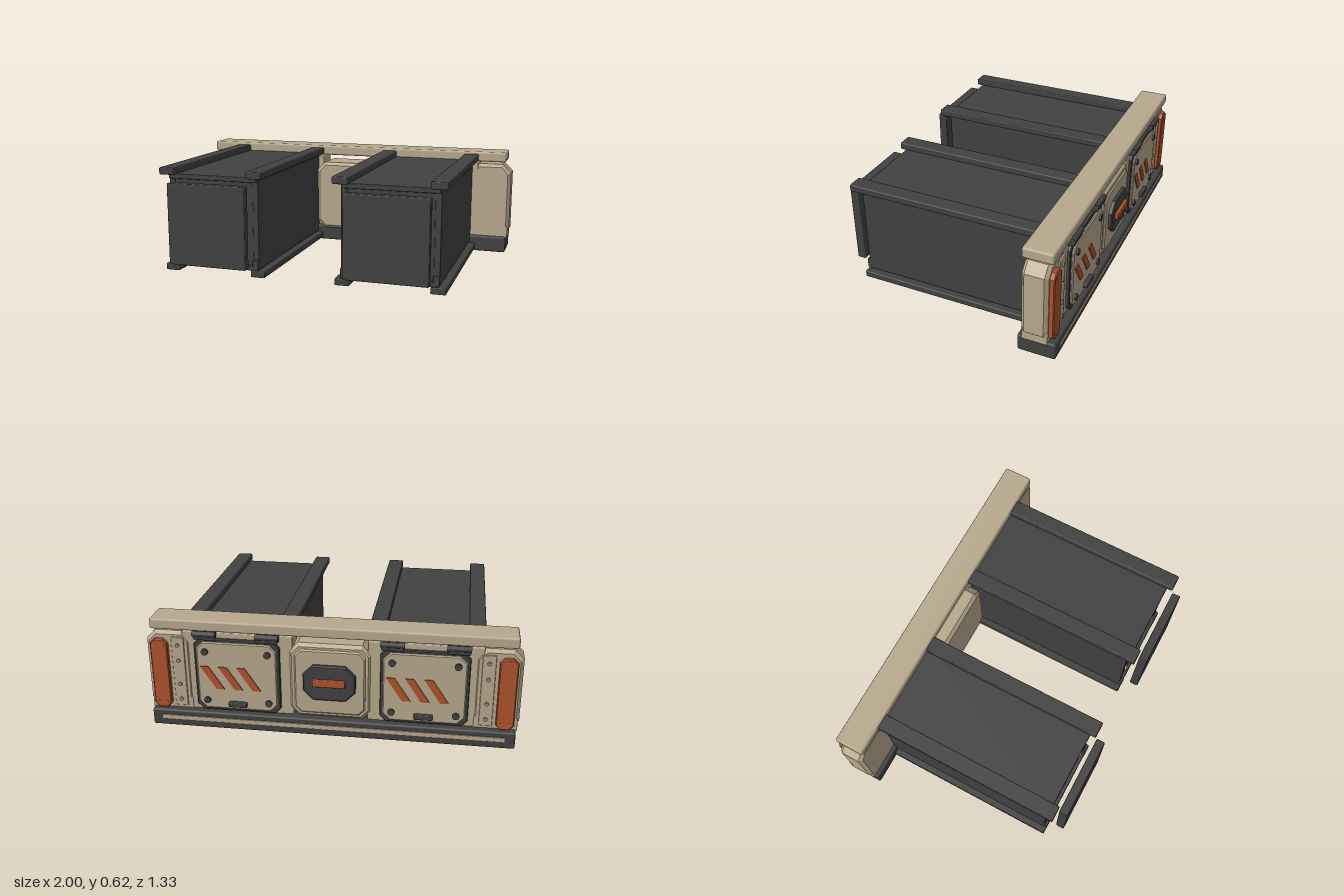
import * as THREE from 'three';
import { RoundedBoxGeometry } from 'three/addons/geometries/RoundedBoxGeometry.js';

const material = (name, color) => new THREE.MeshStandardMaterial({ name, color });

export function createModel() {
  const model = new THREE.Group();
  const dark = material('charcoal', 0x414141);
  const beige = material('sand', 0xb8a98e);
  const orange = material('rust orange', 0xb0522c);
  const steel = material('rivet grey', 0x918c82);

  const add = (parent, name, geometry, mat, x = 0, y = 0, z = 0) => {
    const mesh = new THREE.Mesh(geometry, mat);
    mesh.name = name;
    mesh.position.set(x, y, z);
    parent.add(mesh);
    return mesh;
  };

  // Box given by its limits, with slightly softened edges
  const block = (parent, name, mat, [x0, x1], [y0, y1], [z0, z1], r = 0.006) =>
    add(parent, name, new RoundedBoxGeometry(x1 - x0, y1 - y0, z1 - z0, 1, r), mat,
      (x0 + x1) / 2, (y0 + y1) / 2, (z0 + z1) / 2);

  // Plate with clipped corners and a bevelled rim, centred in depth
  const plate = (w, h, d, cut, bevel) => {
    const a = w / 2 - bevel, b = h / 2 - bevel;
    const shape = new THREE.Shape([
      [-a + cut, -b], [a - cut, -b], [a, -b + cut], [a, b - cut],
      [a - cut, b], [-a + cut, b], [-a, b - cut], [-a, -b + cut],
    ].map(([x, y]) => new THREE.Vector2(x, y)));
    const g = new THREE.ExtrudeGeometry(shape, {
      depth: d - 2 * bevel, bevelEnabled: bevel > 0,
      bevelThickness: bevel, bevelSize: bevel, bevelSegments: 1,
    });
    return g.translate(0, 0, -d / 2 + bevel);
  };

  // Short round stud pointing along z
  const stud = (parent, name, mat, r, d, x, y, z) =>
    add(parent, name, new THREE.CylinderGeometry(r, r, d, 12).rotateX(Math.PI / 2), mat, x, y, z);

  // Lower plinth with its trim line, and the top beam
  block(model, 'plinth', dark, [-0.985, 0.985], [0, 0.095], [-0.653, -0.445], 0.01);
  block(model, 'plinthTrim', beige, [-0.93, 0.93], [0.04, 0.065], [-0.657, -0.648], 0.002);
  block(model, 'topBeam', beige, [-0.97, 0.97], [0.56, 0.62], [-0.627, -0.46], 0.012);

  // Centre block with an octagonal badge and grip
  add(model, 'centreBlock', plate(0.445, 0.43, 0.22, 0.04, 0.018), beige, 0, 0.305, -0.505);
  add(model, 'centrePanel', plate(0.38, 0.37, 0.02, 0.03, 0.008), beige, 0, 0.305, -0.615);
  add(model, 'centreBadge', plate(0.28, 0.2, 0.035, 0.05, 0.006), dark, 0, 0.31, -0.63);
  block(model, 'centreGrip', orange, [-0.088, 0.088], [0.295, 0.335], [-0.665, -0.64], 0.005);

  // End pillars with orange side panels and rivet strips
  for (const s of [-1, 1]) {
    const pillar = new THREE.Group();
    pillar.name = s > 0 ? 'leftPillar' : 'rightPillar';
    model.add(pillar);
    add(pillar, 'pillarBody', plate(0.245, 0.455, 0.14, 0.04, 0.018), beige, s * 0.8775, 0.3175, -0.54);
    block(pillar, 'pillarFoot', beige, [s * 0.8775 - 0.115, s * 0.8775 + 0.115], [0.085, 0.16], [-0.61, -0.47]);
    add(pillar, 'endPanel', plate(0.095, 0.405, 0.03, 0.022, 0.005), orange, s * 0.925, 0.3025, -0.62);
    block(pillar, 'rivetStrip', beige, [s * 0.825 - 0.035, s * 0.825 + 0.035], [0.11, 0.515], [-0.618, -0.6], 0.004);
    for (const y of [0.15, 0.24, 0.38, 0.47])
      stud(pillar, 'stripRivet', steel, 0.011, 0.012, s * 0.825, y, -0.62);
    for (const y of [0.135, 0.47])
      for (const dx of [-0.022, 0.022])
        stud(pillar, 'panelRivet', steel, 0.005, 0.006, s * 0.925 + dx, y, -0.635);
  }

  // One slanted stripe
  const stripe = new THREE.ExtrudeGeometry(new THREE.Shape([
    [-0.065, -0.065], [-0.02, -0.065], [0.065, 0.065], [0.02, 0.065],
  ].map(([x, y]) => new THREE.Vector2(x, y))), { depth: 0.008, bevelEnabled: false });

  for (const s of [-1, 1]) {
    const cx = s * 0.5;
    const side = s > 0 ? 'left' : 'right';

    // Rear hatch: body, frame, door, stripes, bolts, hinges and latch
    const hatch = new THREE.Group();
    hatch.name = side + 'Hatch';
    hatch.position.x = cx;
    model.add(hatch);
    block(hatch, 'hatchBody', beige, [-0.3, 0.3], [0.09, 0.55], [-0.605, -0.47]);
    add(hatch, 'hatchFrame', plate(0.465, 0.42, 0.022, 0.03, 0.004), dark, 0, 0.31, -0.612);
    add(hatch, 'hatchDoor', plate(0.435, 0.39, 0.03, 0.035, 0.006), beige, 0, 0.31, -0.62);
    for (const i of [-1, 0, 1])
      add(hatch, 'hatchStripe', stripe, orange, 0.035 + i * 0.1, 0.3, -0.641);
    for (const dx of [-0.17, 0.17]) {
      for (const y of [0.165, 0.45])
        stud(hatch, 'hatchBolt', dark, 0.019, 0.014, dx, y, -0.638);
      block(hatch, 'hinge', dark, [dx - 0.06, dx + 0.06], [0.515, 0.56], [-0.64, -0.59], 0.008);
      add(hatch, 'hingePin', new THREE.CylinderGeometry(0.016, 0.016, 0.125, 12).rotateZ(Math.PI / 2),
        dark, dx, 0.548, -0.63);
    }
    block(hatch, 'latch', dark, [-0.05, 0.05], [0.137, 0.165], [-0.658, -0.625], 0.005);

    // Long drawer casing on top and bottom rails
    const drawer = new THREE.Group();
    drawer.name = side + 'Drawer';
    drawer.position.x = cx;
    model.add(drawer);
    block(drawer, 'casing', dark, [-0.24, 0.24], [0.055, 0.55], [-0.47, 0.55]);
    block(drawer, 'casingTop', dark, [-0.262, 0.262], [0.54, 0.568], [-0.47, 0.573], 0.004);
    block(drawer, 'casingBottom', dark, [-0.262, 0.262], [0.05, 0.075], [-0.47, 0.57], 0.004);
    for (const m of [-1, 1]) {
      block(drawer, 'casingSide', dark, [m * 0.249 - 0.017, m * 0.249 + 0.017], [0.055, 0.55], [-0.47, 0.557], 0.004);
      block(drawer, 'cornerFoot', dark, [m * 0.249 - 0.017, m * 0.249 + 0.017], [0.055, 0.11], [0.5, 0.573], 0.004);
      block(drawer, 'topRail', dark, [m * 0.259 - 0.044, m * 0.259 + 0.044], [0.565, 0.605], [-0.47, 0.607]);
      block(drawer, 'bottomRail', dark, [m * 0.259 - 0.041, m * 0.259 + 0.041], [0.012, 0.05], [-0.47, 0.57]);
      for (const y of [0.18, 0.45])
        stud(drawer, 'frontStud', beige, 0.014, 0.015, m * 0.19, y, 0.553);
    }
    stud(drawer, 'frontStud', beige, 0.014, 0.015, 0, 0.5, 0.553);

    // Front plate standing clear of the casing
    block(drawer, 'frontPlate', dark, [-0.228, 0.228], [0.073, 0.53], [0.613, 0.663]);
  }
  return model;
}
